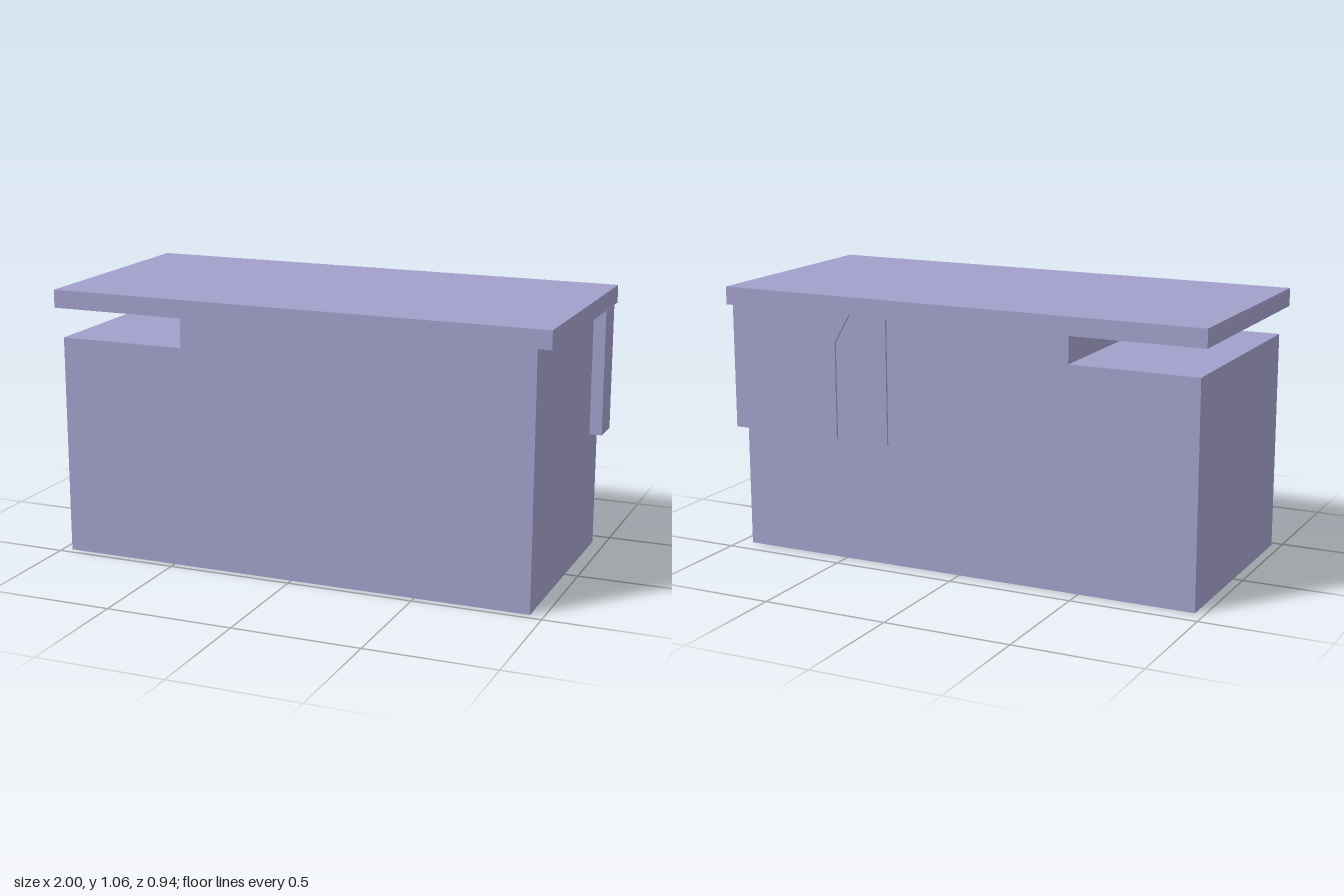
import * as THREE from 'three';

export function createModel() {
  const model = new THREE.Group();
  model.name = 'counter';
  const lavender = new THREE.MeshStandardMaterial({ color: 0xa2a0ca });
  lavender.name = 'lavender';

  const add = (name, geometry) => {
    const mesh = new THREE.Mesh(geometry, lavender);
    mesh.name = name;
    model.add(mesh);
  };

  // Box given by its minimum and maximum corners
  const box = (name, [x0, y0, z0], [x1, y1, z1]) =>
    add(name, new THREE.BoxGeometry(x1 - x0, y1 - y0, z1 - z0)
      .translate((x0 + x1) / 2, (y0 + y1) / 2, (z0 + z1) / 2));

  // Outline in x and y, extruded between two depths
  const prism = (name, points, z0, z1) => {
    const shape = new THREE.Shape(points.map(([x, y]) => new THREE.Vector2(x, y)));
    add(name, new THREE.ExtrudeGeometry(shape, { depth: z1 - z0, bevelEnabled: false })
      .translate(0, 0, z0));
  };

  // Body with a step cut under one end of the top
  prism('body', [
    [-0.963, 0], [0.948, 0], [0.948, 0.987], [-0.453, 0.987], [-0.453, 0.872], [-0.963, 0.872],
  ], -0.423, 0.47);

  // Overhanging top slab
  box('topSlab', [-1, 0.987, -0.47], [1, 1.058, 0.47]);

  // Corner block wrapping the back end, with a thin panel along the back
  const low = 0.484, high = 0.983, back = -0.432;
  box('cornerBlock', [0.948, low, back], [0.997, high, -0.306]);
  prism('backPanel', [
    [0.53, low], [0.948, low], [0.948, high], [0.463, high], [0.53, 0.868],
  ], back, -0.423);

  // Narrow panel with a cut corner, separated by a fine gap
  prism('backStrip', [
    [0.304, low], [0.518, low], [0.518, 0.865], [0.45, high], [0.304, high],
  ], back, -0.423);

  return model;
}
